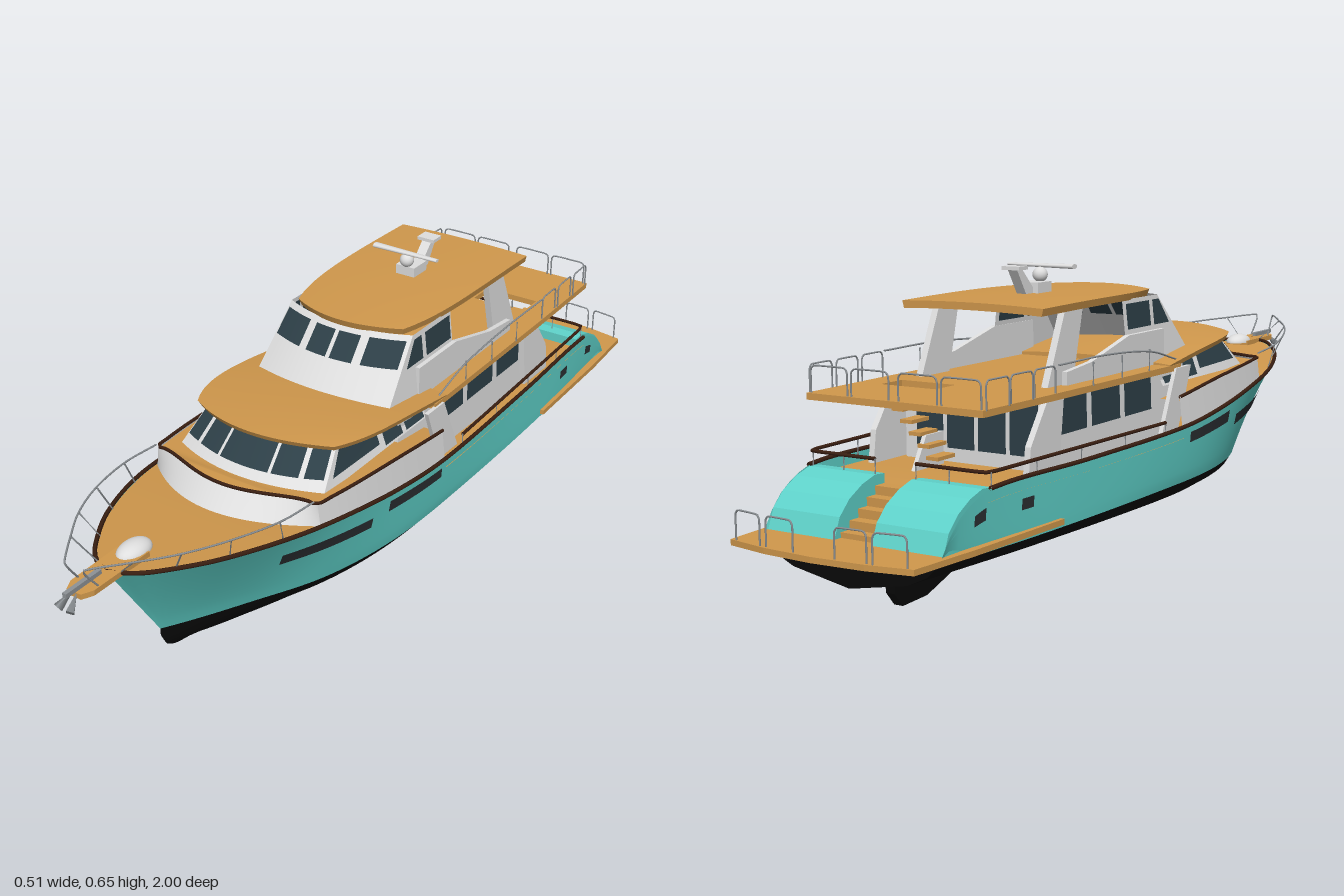
import * as THREE from 'three';
import { toCreasedNormals } from 'three/addons/utils/BufferGeometryUtils.js';

const paint = (name, color) => {
  const m = new THREE.MeshStandardMaterial({ color, side: THREE.DoubleSide });
  m.name = name;
  return m;
};
const M = {
  teal: paint('teal', 0x5fd2ca), wood: paint('wood', 0xd0984c), white: paint('white', 0xdedede),
  glass: paint('glass', 0x2d3f47), brown: paint('brown', 0x3c2012), black: paint('black', 0x080808),
  steel: paint('steel', 0x8d9296), dark: paint('dark grey', 0x2c3033),
};
const SIDES = [1, -1];
const lerp = THREE.MathUtils.lerp;

// Smooth curve y(x) through a short list of [x, y] knots
function curve(k) {
  const slope = i => {
    const a = k[Math.max(i - 1, 0)], b = k[Math.min(i + 1, k.length - 1)];
    return (b[1] - a[1]) / (b[0] - a[0]);
  };
  return x => {
    let i = 0;
    while (i < k.length - 2 && x > k[i + 1][0]) i++;
    const d = k[i + 1][0] - k[i][0], t = THREE.MathUtils.clamp((x - k[i][0]) / d, 0, 1), s = 1 - t;
    return k[i][1] * (1 + 2 * t) * s * s + slope(i) * d * t * s * s
      + k[i + 1][1] * t * t * (3 - 2 * t) - slope(i + 1) * d * t * t * s;
  };
}

// Hull lines along the length
const sheerX = curve([[-0.89, 0.215], [-0.7, 0.225], [-0.3, 0.24], [0, 0.25], [0.2, 0.249], [0.4, 0.234],
  [0.55, 0.205], [0.7, 0.15], [0.8, 0.09], [0.85, 0.047], [0.875, 0]]);
const sheerY = curve([[-0.89, 0.15], [-0.85, 0.205], [-0.8, 0.24], [-0.73, 0.262], [-0.4, 0.262], [0, 0.27],
  [0.2, 0.29], [0.4, 0.318], [0.6, 0.342], [0.875, 0.366]]);
const waterX = curve([[-0.89, 0.205], [-0.5, 0.23], [0, 0.235], [0.2, 0.222], [0.4, 0.178], [0.6, 0.1],
  [0.75, 0.045], [0.875, 0]]);
const keelY = curve([[-0.89, 0.07], [0.1, 0.045], [0.5, 0.052], [0.75, 0.065], [0.84, 0.085], [0.875, 0.12]]);
const WL = 0.137;
const rake = s => (s > 0.2 ? 0.145 * ((s - 0.2) / 0.675) ** 2 : 0);
const station = u => -0.89 + 1.765 * (1 - (1 - u) ** 1.5);
const hullPoint = (s, v, side, off = 0) => {
  const p = lerp(0.65, 1.3, THREE.MathUtils.clamp(s / 0.8, 0, 1));
  return [side * (lerp(waterX(s), sheerX(s), v ** p) + off), lerp(WL, sheerY(s), v), s - rake(s) * (1 - v)];
};
const bottomPoint = (s, v, side) => {
  const i = Math.min(2, Math.floor(v * 3)), t = v * 3 - i;
  const wx = [1, 0.9, 0.68, 0], wy = [1, 0.7, 0.38, 0];
  return [side * waterX(s) * lerp(wx[i], wx[i + 1], t), lerp(keelY(s), WL, lerp(wy[i], wy[i + 1], t)), s - rake(s)];
};

export function createModel() {
  const yacht = new THREE.Group();
  const add = (name, geo, mat) => {
    const m = new THREE.Mesh(geo, mat);
    m.name = name;
    yacht.add(m);
    return m;
  };
  // Surface f(u, v) with u, v in 0..1
  const patch = (name, mat, f, nu = 1, nv = 1) => {
    const pos = [], idx = [];
    for (let i = 0; i <= nu; i++) for (let j = 0; j <= nv; j++) pos.push(...f(i / nu, j / nv));
    for (let i = 0; i < nu; i++) for (let j = 0; j < nv; j++) {
      const a = i * (nv + 1) + j, b = a + nv + 1;
      idx.push(a, b, a + 1, b, b + 1, a + 1);
    }
    const g = new THREE.BufferGeometry();
    g.setAttribute('position', new THREE.Float32BufferAttribute(pos, 3));
    g.setIndex(idx);
    return add(name, toCreasedNormals(g, 0.6), mat);
  };
  const box = (name, mat, w, h, d, x, y, z) => add(name, new THREE.BoxGeometry(w, h, d).translate(x, y, z), mat);
  const shapeOf = pts => new THREE.Shape(pts.map(p => new THREE.Vector2(...p)));
  // Side profile of [z, y] points, x0 to x1
  const profile = (name, mat, pts, x0, x1) => add(name,
    new THREE.ExtrudeGeometry(shapeOf(pts), { depth: x1 - x0, bevelEnabled: false }).rotateY(-Math.PI / 2).translate(x1, 0, 0), mat);
  // Plan of [x, z] points hanging down from y
  const plate = (name, mat, pts, y, depth, hole) => {
    const s = shapeOf(pts);
    if (hole) s.holes.push(shapeOf(hole));
    return add(name, new THREE.ExtrudeGeometry(s, { depth, bevelEnabled: false }).rotateX(Math.PI / 2).translate(0, y, 0), mat);
  };
  const tube = (name, mat, pts, r = 0.0022, n = 24, tension = 0.5) => add(name, new THREE.TubeGeometry(
    new THREE.CatmullRomCurve3(pts.map(p => new THREE.Vector3(...p)), false, 'catmullrom', tension), n, r, 5), mat);
  // Railing frame standing between two foot points
  const frame = (x1, z1, x2, z2, y, h) => {
    const at = (t, k) => [lerp(x1, x2, t), y + h * k, lerp(z1, z2, t)];
    tube('railFrame', M.steel, [at(0, 0), at(0, 0.85), at(0.1, 1), at(0.9, 1), at(1, 0.85), at(1, 0)], 0.002, 30, 0.15);
  };
  // Crowned roof slab with a rounded front
  const roof = (name, z0, zf, W, c, top, thick, crown) => {
    const pt = (a, t, low) => {
      const w = W * (1 - 0.2 * t ** 5) - low * 0.004;
      return [a * w, top(t) - crown * a * a - low * thick, z0 + t * (zf - c * a * a - z0) - low * t * 0.006];
    };
    for (const low of [0, 1]) patch(name, M.wood, (u, v) => pt(u * 2 - 1, v, low), 20, 16);
    for (const a of SIDES) patch(name + 'Edge', M.wood, (u, v) => pt(a, u, v), 16, 1);
    for (const t of [0, 1]) patch(name + 'Edge', M.wood, (u, v) => pt(u * 2 - 1, t, v), 20, 1);
  };
  // Cabin with raked curved front; windows are [a0, a1, h0, h1] in front, [z0, z1, h0, h1] on the sides
  const cabin = (name, o, frontPanes, sidePanes) => {
    const front = (a, h, off = 0) => [a * lerp(o.wb, o.wt, h), lerp(o.yb, o.yt, h) + off * 0.5, lerp(o.zb, o.zt, h) - o.c * a * a + off];
    const side = (s, z, h, off = 0) => {
      const yt = lerp(o.yBack, o.yt, THREE.MathUtils.clamp((z - o.back) / (o.zt - o.c - o.back), 0, 1));
      return [s * (lerp(o.wb, o.wt, h) + off), lerp(o.yb, yt, h), z];
    };
    patch(name + 'Front', M.white, (u, v) => front(u * 2 - 1, v), 20, 1);
    for (const [a0, a1, h0, h1] of frontPanes) for (const off of [0.004, -0.004])
      patch(name + 'FrontWindow', M.glass, (u, v) => front(lerp(a0, a1, u), lerp(h0, h1, v), off), 6, 1);
    for (const s of SIDES) {
      patch(name + 'Side', M.white, (u, v) => side(s, lerp(o.back, lerp(o.zb, o.zt, v) - o.c, u), v), 8, 1);
      for (const [z0, z1, h0, h1, slant = 0] of sidePanes) for (const off of [0.003, -0.003])
        patch(name + 'SideWindow', M.glass, (u, v) => side(s, lerp(z0, z1 - slant * v, u), lerp(h0, h1, v), off));
    }
  };

  // Hull
  for (const s of SIDES) {
    patch('hullSide', M.teal, (u, v) => hullPoint(station(u), v, s), 90, 10);
    patch('hullBottom', M.black, (u, v) => bottomPoint(station(u), v, s), 60, 6);
    patch('transom', M.black, (u, v) => { const p = bottomPoint(-0.89, u, s); return [p[0] * v, p[1], p[2]]; }, 6, 1);
    patch('transomTop', M.teal, (u, v) => { const p = hullPoint(-0.89, u, s); return [p[0] * v, p[1], p[2]]; });
    for (const [z0, z1, v0, v1] of [[0.29, 0.555, 0.57, 0.73], [0.025, 0.235, 0.7, 0.88], [-0.64, -0.6, 0.5, 0.68], [-0.79, -0.755, 0.55, 0.75]])
      patch('hullWindow', M.dark, (u, v) => hullPoint(lerp(z0, z1, u), lerp(v0, v1, v), s, 0.004), 8, 2);
    tube('rubRail', M.brown, Array.from({ length: 40 }, (_, i) => {
      const z = lerp(-0.74, 0.875, 1 - (1 - i / 39) ** 1.5);
      return [s * (sheerX(z) + 0.001), sheerY(z) + 0.001, z];
    }), 0.005, 80);
  }
  profile('skeg', M.black, [[-0.5, 0.065], [-0.58, 0.03], [-0.66, 0.003], [-0.74, 0], [-0.765, 0.03], [-0.77, 0.075]], -0.011, 0.011);

  // Decks
  patch('foreDeck', M.wood, (u, v) => { const z = lerp(0, 0.875, 1 - (1 - u) ** 1.5); return [(v * 2 - 1) * sheerX(z), sheerY(z) - 0.003, z]; }, 40, 2);
  patch('aftDeck', M.wood, (u, v) => { const z = lerp(-0.745, 0, u); return [(v * 2 - 1) * sheerX(z), sheerY(z) - 0.025, z]; }, 12, 2);

  // Raised forward bulwark, its walkway and cap
  const capY = curve([[0, 0.338], [0.2, 0.36], [0.5, 0.378]]);
  const bulwark = (t, h) => {
    const a = Math.abs(t), s = Math.sign(t);
    let x, z, lean = 0;
    if (a > 0.45) { z = 0.46 * (1 - (a - 0.45) / 0.55); x = sheerX(z) - 0.006; }
    else { const k = a / 0.45; x = k * (sheerX(0.46) - 0.006); z = 0.555 - 0.095 * k * k; lean = 0.045 * (1 - k ** 4); }
    return [s * x * (1 - 0.03 * h), lerp(sheerY(z) - 0.005, capY(z), h), z - lean * h];
  };
  patch('bulwark', M.white, (u, v) => bulwark(u * 2 - 1, v), 80, 2);
  patch('walkway', M.wood, (u, v) => { const p = bulwark(u, 1); return [p[0] * (v * 2 - 1), p[1] - 0.008, p[2]]; }, 40, 2);
  tube('bulwarkCap', M.brown, Array.from({ length: 41 }, (_, i) => bulwark(i / 20 - 1, 1)), 0.004, 90);

  // Saloon, pilothouse and flybridge
  cabin('saloon', { yb: 0.235, yt: 0.4, yBack: 0.4, wb: 0.19, wt: 0.185, zb: 0.12, zt: 0.12, c: 0.01, back: -0.46 }, [],
    [[-0.17, -0.05, 0.48, 0.93], [-0.31, -0.19, 0.48, 0.93], [-0.44, -0.33, 0.48, 0.93]]);
  box('saloonBack', M.white, 0.37, 0.165, 0.01, 0, 0.318, -0.46);
  for (const x of [-0.12, -0.04, 0.04, 0.12]) box('saloonDoor', M.glass, 0.068, 0.115, 0.006, x, 0.325, -0.465);
  cabin('pilothouse', { yb: 0.36, yt: 0.45, yBack: 0.408, wb: 0.193, wt: 0.167, zb: 0.46, zt: 0.365, c: 0.05, back: 0 },
    [[-0.97, -0.76, 0.27, 0.93], [-0.7, -0.38, 0.27, 0.93], [-0.34, 0.34, 0.27, 0.93], [0.38, 0.7, 0.27, 0.93], [0.76, 0.97, 0.27, 0.93]],
    [[0.19, 0.37, 0.25, 0.88, 0.05], [0.1, 0.17, 0.1, 0.9], [0.01, 0.085, 0.1, 0.9]]);
  roof('pilothouseRoof', -0.03, 0.415, 0.228, 0.06, t => 0.424 + 0.036 * Math.sin(t * Math.PI / 2), 0.012, 0.01);
  cabin('flybridge', { yb: 0.41, yt: 0.567, yBack: 0.567, wb: 0.182, wt: 0.165, zb: 0.2, zt: 0.06, c: 0.04, back: -0.14 },
    [[-0.96, -0.48, 0.61, 0.93], [-0.36, -0.03, 0.61, 0.93], [0.03, 0.36, 0.61, 0.93], [0.48, 0.96, 0.61, 0.93]],
    [[-0.01, 0.06, 0.58, 0.94, 0.04], [-0.13, -0.025, 0.58, 0.94]]);
  roof('flybridgeRoof', -0.48, 0.07, 0.178, 0.045, t => 0.582 + 0.003 * Math.sin(t * Math.PI), 0.016, 0.004);

  // Upper deck with stair opening
  plate('upperDeck', M.wood, [[-0.228, 0.02], [0.228, 0.02], [0.222, -0.5], [0.216, -0.75], [-0.216, -0.75], [-0.222, -0.5]], 0.412, 0.014,
    [[0.02, -0.51], [0.16, -0.51], [0.16, -0.58], [0.02, -0.58]]);
  for (let i = 0; i < 6; i++) box('deckStair', M.wood, 0.03, 0.008, 0.06, 0.145 - i * 0.022, 0.385 - i * 0.024, -0.545);
  profile('stairSide', M.white, [[-0.5, 0.24], [-0.5, 0.31], [-0.56, 0.31], [-0.6, 0.24]], 0.06, 0.07);

  // Side wings, coamings and roof pillars
  for (const s of SIDES) {
    const strip = (name, pts, x, t) => profile(name, M.white, pts, s * x - t / 2, s * x + t / 2);
    strip('forwardWing', [[0.06, 0.405], [-0.01, 0.405], [-0.075, 0.265], [0, 0.265], [0.03, 0.33]], 0.228, 0.01);
    strip('aftWing', [[-0.44, 0.4], [-0.5, 0.4], [-0.565, 0.31], [-0.575, 0.24], [-0.46, 0.24]], 0.195, 0.014);
    strip('coaming', [[0.02, 0.41], [0.02, 0.49], [-0.14, 0.49], [-0.3, 0.45], [-0.4, 0.44], [-0.4, 0.41]], 0.178, 0.012);
    strip('roofPillar', [[-0.31, 0.568], [-0.38, 0.568], [-0.45, 0.41], [-0.35, 0.41]], 0.16, 0.016);

    // Stern quarter, curving down to the platform
    profile('sternQuarter', M.teal, [[-0.72, 0.15], [-0.72, 0.26], [-0.75, 0.262], [-0.79, 0.25], [-0.83, 0.228], [-0.86, 0.198], [-0.88, 0.15]],
      s > 0 ? 0.045 : -0.213, s > 0 ? 0.213 : -0.045);

    // Aft deck handrail
    const rail = [-0.08, -0.25, -0.42, -0.58, -0.73];
    tube('handrail', M.brown, [...rail.map(z => [s * (sheerX(z) - 0.004), 0.292, z]), [s * 0.2, 0.292, -0.742], [s * 0.05, 0.292, -0.742]], 0.004, 40, 0.2);
    for (const z of rail) tube('handrailPost', M.steel, [[s * (sheerX(z) - 0.004), 0.255, z], [s * (sheerX(z) - 0.004), 0.292, z]], 0.002, 1);
    for (const x of [0.05, 0.13]) tube('handrailPost', M.steel, [[s * x, 0.255, -0.742], [s * x, 0.292, -0.742]], 0.002, 1);

    // Upper deck and swim platform rail frames
    for (let i = 0; i < 3; i++) frame(s * 0.219, -0.5 - i * 0.083, s * 0.216, -0.573 - i * 0.083, 0.41, 0.058);
    for (let i = 0; i < 2; i++) {
      frame(s * (0.012 + i * 0.103), -0.744, s * (0.105 + i * 0.103), -0.744, 0.41, 0.058);
      frame(s * (0.05 + i * 0.085), -0.99 + i * 0.004, s * (0.12 + i * 0.085), -0.985 + i * 0.01, 0.155, 0.062);
    }
    tube('sideRail', M.steel, [[s * 0.225, 0.425, 0], [s * 0.224, 0.455, -0.12], [s * 0.223, 0.468, -0.3], [s * 0.221, 0.468, -0.49]]);
    for (const z of [-0.12, -0.24, -0.36]) tube('sideRailPost', M.steel, [[s * 0.224, 0.41, z], [s * 0.224, 0.46, z]], 0.002, 1);

    // Bow rail
    const bow = [[0.21, 0.384, 0.47], [0.205, 0.394, 0.58], [0.175, 0.406, 0.7], [0.132, 0.414, 0.8], [0.08, 0.42, 0.88], [0.03, 0.425, 0.95]];
    tube('bowRail', M.steel, [...bow.map(p => [s * p[0], p[1], p[2]]), [s * 0.022, 0.415, 0.955], [s * 0.026, 0.365, 0.92]], 0.0022, 50);
    for (const [x, y, z] of bow.slice(1, 5)) {
      const zd = z - 0.02;
      tube('bowRailPost', M.steel, [[s * (sheerX(zd) - 0.005), sheerY(zd), zd], [s * x, y, z]], 0.002, 1);
    }
  }

  // Stern steps and swim platform
  for (let i = 0; i < 5; i++) box('sternStep', M.wood, 0.092, 0.09 - i * 0.018, 0.03, 0, 0.15 + (0.09 - i * 0.018) / 2, -0.735 - i * 0.027);
  plate('swimPlatform', M.wood, [[-0.24, -0.5], [0.24, -0.5], [0.232, -0.8], [0.22, -0.975], [0.12, -0.993], [0, -1], [-0.12, -0.993], [-0.22, -0.975], [-0.232, -0.8]], 0.157, 0.012);

  // Bow pulpit, windlass and anchor
  plate('pulpit', M.wood, [[-0.032, 0.78], [0.032, 0.78], [0.03, 0.94], [0.018, 0.965], [-0.018, 0.965], [-0.03, 0.94]], 0.371, 0.012);
  add('windlass', new THREE.SphereGeometry(1, 20, 10, 0, Math.PI * 2, 0, Math.PI / 2).scale(0.03, 0.022, 0.045).translate(0, 0.366, 0.79), M.white);
  box('anchorShank', M.steel, 0.01, 0.01, 0.1, 0, 0.376, 0.94);
  for (const s of SIDES) add('anchorFluke', new THREE.ConeGeometry(0.011, 0.045, 4).rotateX(-0.9).rotateZ(s * 0.4).translate(s * 0.01, 0.358, 0.977), M.steel);

  // Radar mast
  box('mastBase', M.white, 0.05, 0.026, 0.055, 0, 0.595, -0.235);
  add('radarDome', new THREE.SphereGeometry(0.017, 20, 14).translate(0, 0.622, -0.215), M.white);
  add('radarBar', new THREE.CylinderGeometry(0.011, 0.007, 0.172, 10).rotateZ(Math.PI / 2).scale(1, 0.5, 1).translate(0, 0.642, -0.21), M.white);
  profile('mastArm', M.white, [[-0.25, 0.585], [-0.29, 0.585], [-0.325, 0.64], [-0.305, 0.64]], -0.012, 0.012);
  box('mastHead', M.white, 0.045, 0.008, 0.035, 0, 0.643, -0.315);

  return yacht;
}
